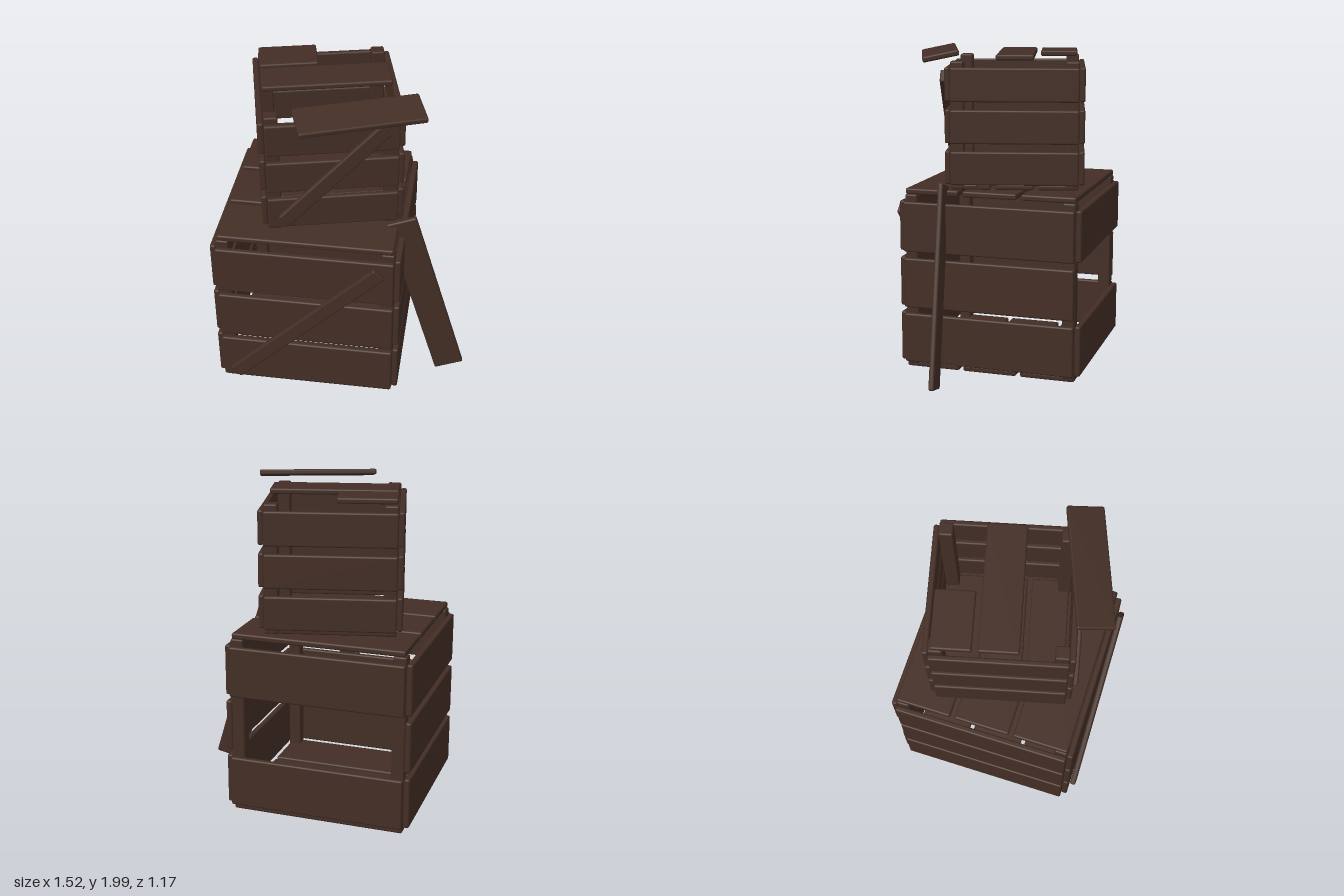
import * as THREE from 'three';
import { RoundedBoxGeometry } from 'three/addons/geometries/RoundedBoxGeometry.js';

const wood = new THREE.MeshStandardMaterial({ color: 0x432e25 });
wood.name = 'dark brown wood';

// A board with softly bevelled edges
function board(parent, name, [w, h, d], [x, y, z], [rx, ry, rz] = [0, 0, 0]) {
  const radius = Math.min(0.011, Math.min(w, h, d) * 0.4);
  const mesh = new THREE.Mesh(new RoundedBoxGeometry(w, h, d, 2, radius), wood);
  mesh.name = name;
  mesh.position.set(x, y, z);
  mesh.rotation.set(rx, ry, rz, 'YXZ');
  parent.add(mesh);
  return mesh;
}

// Posts, slatted walls and floor, centred on its own x and z
function crate(name, { span, t, post, postY, slatY, slatH, floorY, floorW, pitch, missingBack }) {
  const g = new THREE.Group();
  g.name = name;
  const inner = span / 2 - post / 2;
  const wall = span / 2 + t / 2;
  const [y0, y1] = postY;
  for (const sx of [-1, 1]) for (const sz of [-1, 1]) {
    board(g, 'cornerPost', [post, y1 - y0, post], [sx * inner, (y0 + y1) / 2, sz * inner]);
  }
  slatY.forEach((y, i) => {
    board(g, 'frontSlat', [span, slatH, t], [0, y, wall]);
    if (i !== missingBack) board(g, 'backSlat', [span, slatH, t], [0, y, -wall]);
    board(g, 'leftSlat', [t, slatH, span], [wall, y, 0]);
    board(g, 'rightSlat', [t, slatH, span], [-wall, y, 0]);
  });
  for (const i of [-1, 0, 1]) {
    board(g, 'floorBoard', [span - 0.01, t, floorW], [0, floorY, i * pitch]);
  }
  return g;
}

export function createModel() {
  const model = new THREE.Group();
  model.name = 'stackedCrates';

  // Large lower crate, its middle back slat missing
  const lower = crate('lowerCrate', {
    span: 1.06, t: 0.036, post: 0.078, postY: [0.06, 1.125],
    slatY: [0.235, 0.582, 0.93], slatH: 0.308,
    floorY: 0.058, floorW: 0.335, pitch: 0.362, missingBack: 1,
  });
  lower.position.set(-0.2, 0, -0.02);
  for (const i of [-1, 0, 1]) {
    board(lower, 'lidBoard', [1.045, 0.036, 0.335], [0, 1.142, i * 0.362]);
  }
  board(lower, 'frontBrace', [1.268, 0.09, 0.036], [0, 0.585, 0.588], [0, 0, 0.785]);
  model.add(lower);

  // Small upper crate, turned on top of the lower one
  const upper = crate('upperCrate', {
    span: 0.76, t: 0.034, post: 0.08, postY: [1.165, 1.925],
    slatY: [1.297, 1.543, 1.79], slatH: 0.2,
    floorY: 1.18, floorW: 0.227, pitch: 0.255,
  });
  upper.position.set(-0.15, 0, -0.055);
  upper.rotation.y = 0.244;
  board(upper, 'frontBrace', [0.825, 0.09, 0.034], [0, 1.547, 0.431], [0, 0, 0.785]);
  board(upper, 'lidBoard', [0.75, 0.034, 0.225], [0, 1.948, 0]);
  board(upper, 'brokenLidBoard', [0.345, 0.034, 0.225], [-0.203, 1.948, -0.255]);
  model.add(upper);

  // Loose boards: one sliding off the top, one leaning on the side
  board(model, 'looseLidBoard', [0.72, 0.034, 0.215], [0.102, 1.963, 0.36], [0.2, 0.37, 0]);
  board(model, 'leaningBoard', [0.185, 1.21, 0.034], [0.505, 0.617, 0.232], [0, 0.15, 0.284]);

  return model;
}
